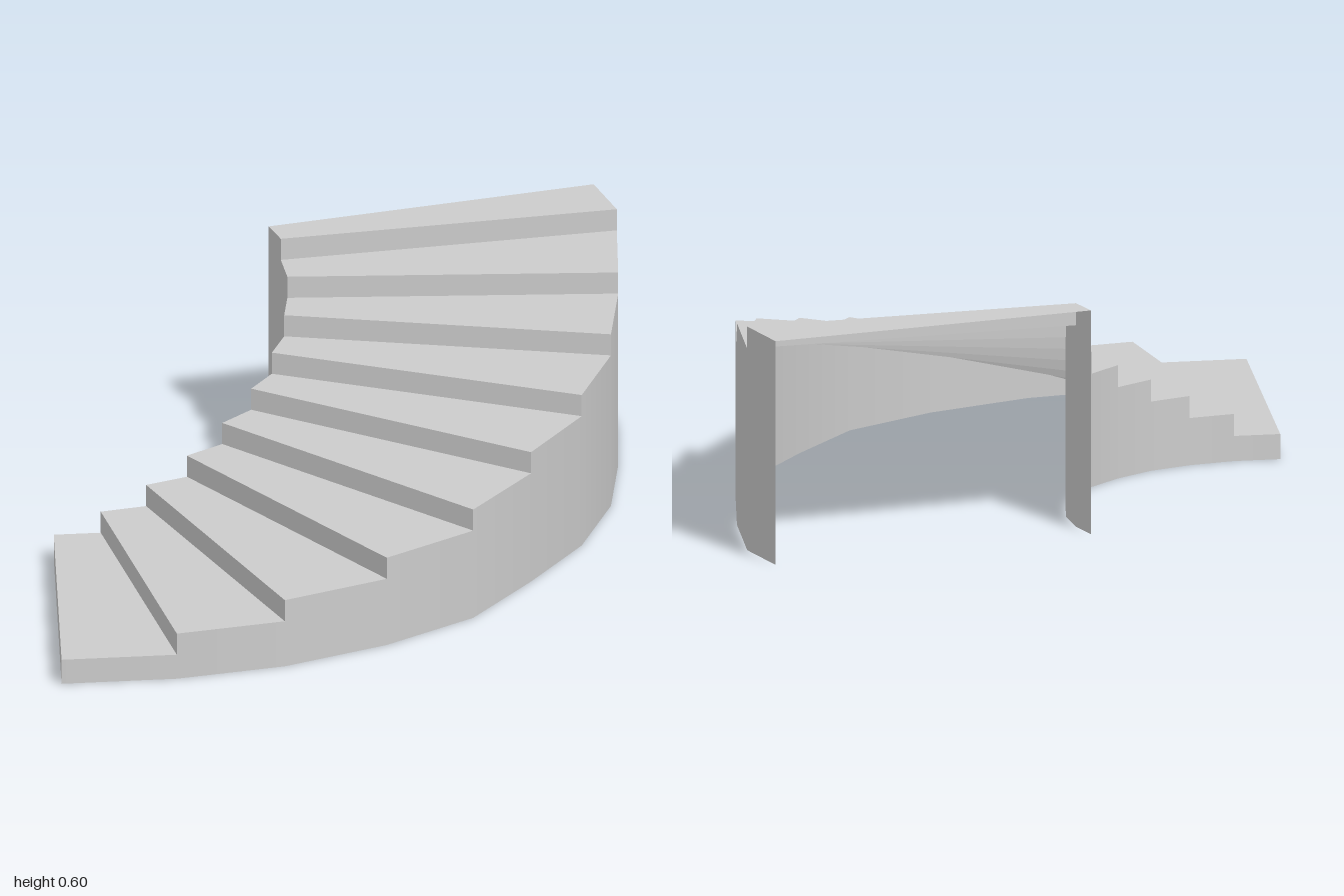
import * as THREE from 'three';

// Plan of the riser lines: inner x, z, outer x, z
const LINES = [
  [-0.715, -0.16, -1, 0.695],
  [-0.595, -0.132, -0.705, 0.762],
  [-0.47, -0.13, -0.41, 0.773],
  [-0.35, -0.15, -0.108, 0.718],
  [-0.235, -0.198, 0.17, 0.61],
  [-0.132, -0.262, 0.4, 0.415],
  [-0.045, -0.345, 0.612, 0.215],
  [0.025, -0.445, 0.78, -0.028],
  [0.075, -0.56, 0.897, -0.298],
  [0.1, -0.68, 0.996, -0.585],
  [0.1, -0.775, 1, -0.775],
];
const STEPS = LINES.length - 1;
const stepTop = (i) => (i < 0 ? 0 : 0.067 + 0.0589 * i);

const material = new THREE.MeshStandardMaterial({ color: 0xcccccc, side: THREE.DoubleSide });

// Quad a-b-c-d, counter-clockwise from its front, with optional corner normals
function quadMesh(name, corners, normals) {
  const geometry = new THREE.BufferGeometry();
  const [a, b, c, d] = corners;
  geometry.setAttribute('position', new THREE.Float32BufferAttribute([...a, ...b, ...c, ...d], 3));
  geometry.setIndex([0, 1, 2, 0, 2, 3]);
  if (normals) geometry.setAttribute('normal', new THREE.Float32BufferAttribute(normals.flat(), 3));
  else geometry.computeVertexNormals();
  const mesh = new THREE.Mesh(geometry, material);
  mesh.name = name;
  return mesh;
}

const inner = (i, y) => [LINES[i][0], y, LINES[i][1]];
const outer = (i, y) => [LINES[i][2], y, LINES[i][3]];

// Smooth wall normal from the neighbouring points of the curve
function wallNormal(edge, i, sign) {
  const p = edge(Math.max(i - 1, 0), 0);
  const q = edge(Math.min(i + 1, STEPS), 0);
  return new THREE.Vector3(p[2] - q[2], 0, q[0] - p[0]).normalize().multiplyScalar(sign).toArray();
}

// Side wall stepped along its top edge
function wall(name, edge, sign) {
  const group = new THREE.Group();
  group.name = name;
  for (let i = 0; i < STEPS; i++) {
    const top = stepTop(i);
    const corners = [edge(i, 0), edge(i + 1, 0), edge(i + 1, top), edge(i, top)];
    const n0 = wallNormal(edge, i, sign);
    const n1 = wallNormal(edge, i + 1, sign);
    const normals = [n0, n1, n1, n0];
    if (sign < 0) {
      corners.reverse();
      normals.reverse();
    }
    group.add(quadMesh('wallPanel', corners, normals));
  }
  return group;
}

export function createModel() {
  const model = new THREE.Group();
  model.name = 'curvedStaircase';

  // Thin treads and risers, open underneath and at the high end
  const steps = new THREE.Group();
  steps.name = 'steps';
  for (let i = 0; i < STEPS; i++) {
    const low = stepTop(i - 1);
    const top = stepTop(i);
    steps.add(
      quadMesh('riser', [inner(i, low), outer(i, low), outer(i, top), inner(i, top)]),
      quadMesh('tread', [inner(i, top), outer(i, top), outer(i + 1, top), inner(i + 1, top)]),
    );
  }

  model.add(steps, wall('outerWall', outer, 1), wall('innerWall', inner, -1));
  return model;
}
